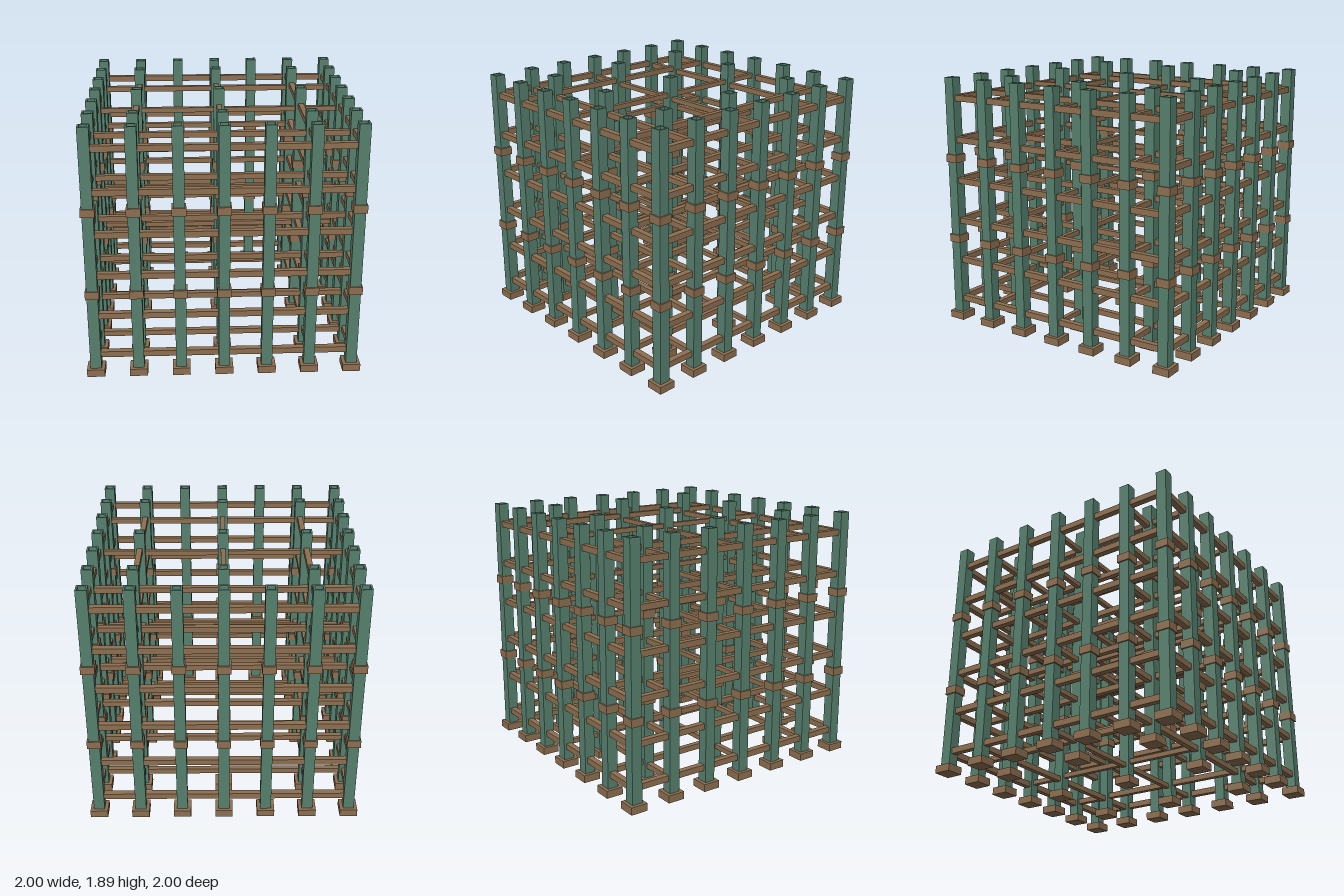
import * as THREE from 'three';

export function createModel() {
  const model = new THREE.Group();
  model.name = 'postAndBeamLattice';

  const green = new THREE.MeshStandardMaterial({ color: 0x56806e });
  green.name = 'green post';
  const brown = new THREE.MeshStandardMaterial({ color: 0x8e6f50 });
  brown.name = 'brown wood';

  const EDGE = 0.935, STEP = EDGE / 3;
  const POST_BOTTOM = 0.055, POST_TOP = 1.89;

  // Square outline used for the hollow posts
  const square = (Type, h) => new Type([
    new THREE.Vector2(-h, -h), new THREE.Vector2(h, -h),
    new THREE.Vector2(h, h), new THREE.Vector2(-h, h),
  ]);
  const tube = square(THREE.Shape, 0.04);
  tube.holes.push(square(THREE.Path, 0.027));
  const postGeo = new THREE.ExtrudeGeometry(tube, { depth: POST_TOP - POST_BOTTOM, bevelEnabled: false });
  postGeo.rotateX(-Math.PI / 2);
  const footGeo = new THREE.BoxGeometry(0.13, 0.056, 0.13);
  const collarGeo = new THREE.BoxGeometry(0.1, 0.06, 0.1);

  const add = (parent, name, geo, mat, x, y, z) => {
    const mesh = new THREE.Mesh(geo, mat);
    mesh.name = name;
    mesh.position.set(x, y, z);
    parent.add(mesh);
  };

  // Hollow posts with feet and collars: all along the edge, sparser inside
  for (let i = -3; i <= 3; i++) {
    for (let j = -3; j <= 3; j++) {
      const onEdge = Math.abs(i) === 3 || Math.abs(j) === 3;
      if (!onEdge && (i % 2 || j % 2)) continue;
      const column = new THREE.Group();
      column.name = 'column';
      column.position.set(i * STEP, 0, j * STEP);
      add(column, 'post', postGeo, green, 0, POST_BOTTOM, 0);
      add(column, 'foot', footGeo, brown, 0, 0.028, 0);
      for (const y of [0.652, 1.28]) add(column, 'collar', collarGeo, brown, 0, y, 0);
      model.add(column);
    }
  }

  // Beams in both directions; x beams lie slightly below z beams
  const rows = [
    { at: [-3, 3], size: 0.045, dy: 0 },
    { at: [-2, 2], size: 0.041, dy: 0.01 },
    { at: [0], size: 0.036, dy: 0.012 },
  ];
  for (let level = 0; level < 6; level++) {
    const y = 0.162 + level * 0.3145;
    const layer = new THREE.Group();
    layer.name = 'beamLayer';
    for (const { at, size, dy } of rows) {
      const xGeo = new THREE.BoxGeometry(2 * EDGE, size, size);
      const zGeo = new THREE.BoxGeometry(size, size, 2 * EDGE);
      for (const k of at) {
        add(layer, 'crossBeam', xGeo, brown, 0, y - 0.002 - dy, k * STEP);
        add(layer, 'sideBeam', zGeo, brown, k * STEP, y + 0.004 + dy, 0);
      }
    }
    model.add(layer);
  }

  return model;
}
